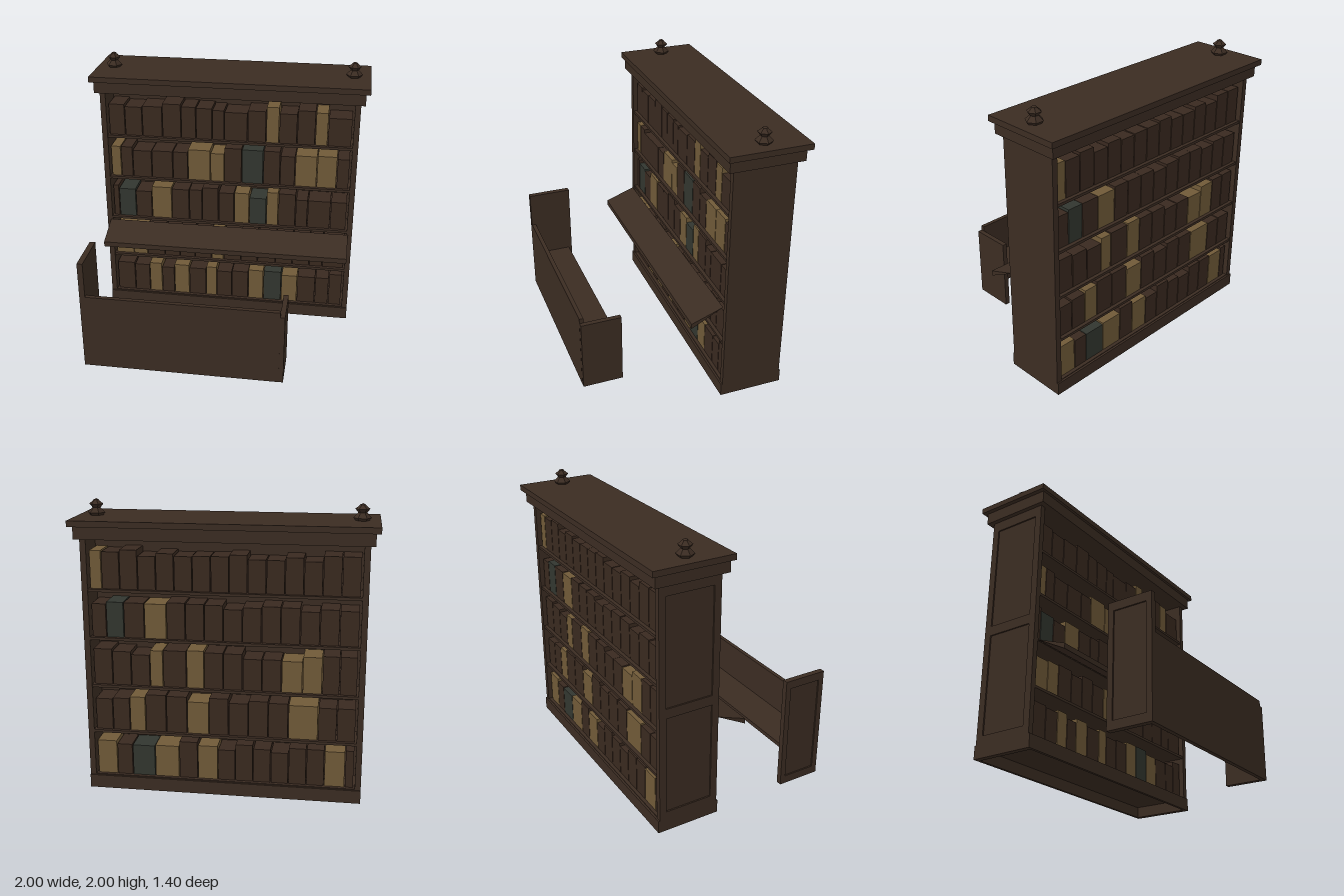
import * as THREE from 'three';

const mat = (name, color) => {
  const m = new THREE.MeshStandardMaterial({ color });
  m.name = name;
  return m;
};

export function createModel() {
  const root = new THREE.Group();
  root.name = 'libraryBookcase';
  const wood = mat('dark wood', 0x3b2c22);
  const books = {
    b: mat('brown leather', 0x39291f),
    t: mat('tan leather', 0x705a38),
    g: mat('dark green cloth', 0x32362f),
  };

  // Box given by its minimum and maximum on each axis
  function box(parent, name, x0, x1, y0, y1, z0, z1, material = wood) {
    const mesh = new THREE.Mesh(new THREE.BoxGeometry(x1 - x0, y1 - y0, z1 - z0), material);
    mesh.position.set((x0 + x1) / 2, (y0 + y1) / 2, (z0 + z1) / 2);
    mesh.name = name;
    parent.add(mesh);
    return mesh;
  }

  // Framed panel facing -x: thin core with raised rails and stiles
  function framedSide(parent, name, x0, x1, y0, y1, z0, z1, rails, w) {
    const g = new THREE.Group();
    g.name = name;
    const mid = x0 + 0.01;
    box(g, 'core', mid, x1, y0, y1, z0, z1);
    box(g, 'backStile', x0, mid, y0, y1, z0, z0 + w);
    box(g, 'frontStile', x0, mid, y0, y1, z1 - w, z1);
    for (const [a, b] of rails) box(g, 'rail', x0, mid, a, b, z0 + w, z1 - w);
    parent.add(g);
  }

  // Bookcase carcass
  const carcass = new THREE.Group();
  carcass.name = 'carcass';
  root.add(carcass);
  box(carcass, 'leftSide', 0.9, 0.94, 0, 1.765, -0.63, -0.19);
  framedSide(carcass, 'rightSide', -0.94, -0.9, 0, 1.765, -0.63, -0.19,
    [[0, 0.15], [0.86, 0.93], [1.69, 1.765]], 0.05);
  box(carcass, 'middlePartition', -0.9, 0.9, 0.09, 1.765, -0.415, -0.405);
  const shelfTops = [1.428, 1.096, 0.76, 0.43, 0.098];
  for (const y of shelfTops) box(carcass, 'shelf', -0.9, 0.9, y - 0.019, y, -0.625, -0.195);

  // Plinth, open underneath
  box(carcass, 'plinthFront', -0.94, 0.94, 0, 0.093, -0.2, -0.18);
  box(carcass, 'plinthBack', -0.94, 0.94, 0, 0.093, -0.64, -0.62);

  // Cornice and top
  box(carcass, 'cornice', -0.97, 0.97, 1.765, 1.85, -0.67, -0.15);
  box(carcass, 'topBoard', -1, 1, 1.85, 1.89, -0.7, -0.13);

  // Six-sided finials
  const profile = [[0.045, 0], [0.06, 0.018], [0.028, 0.05], [0.048, 0.075], [0.022, 0.095], [0.018, 0.102], [0, 0.11]]
    .map(([r, y]) => new THREE.Vector2(r, y));
  const finialGeo = new THREE.LatheGeometry(profile, 6).toNonIndexed();
  finialGeo.computeVertexNormals();
  for (const s of [-1, 1]) {
    const finial = new THREE.Mesh(finialGeo, wood);
    finial.name = 'finial';
    finial.position.set(0.88 * s, 1.89, -0.415);
    finial.rotation.y = Math.PI / 6;
    root.add(finial);
  }

  // Row of books from [kind, end, height] entries running from a start position
  function bookRow(name, start, list, y, toX, z0, z1) {
    const g = new THREE.Group();
    g.name = name;
    let from = start;
    for (const [kind, end, h] of list) {
      const a = toX(from), b = toX(end);
      box(g, 'book', Math.min(a, b) + 0.003, Math.max(a, b) - 0.003, y, y + h, z0, z1, books[kind]);
      from = end;
    }
    root.add(g);
  }

  // Front books: ends in hundredths from the right-hand side (0 to 180)
  const frontRows = [
    [['b', 13, 0.235], ['b', 26, 0.22], ['b', 41, 0.23], ['b', 55, 0.255], ['b', 66, 0.24], ['b', 78, 0.235],
      ['b', 87, 0.225], ['b', 104, 0.215], ['b', 117.5, 0.235], ['t', 127, 0.27], ['b', 140, 0.225],
      ['b', 153, 0.255], ['t', 162, 0.245], ['b', 179, 0.21]],
    [['t', 8.5, 0.235], ['b', 17.5, 0.235], ['b', 32, 0.21], ['b', 48, 0.215], ['b', 59.5, 0.215], ['t', 76.5, 0.24],
      ['t', 87, 0.22], ['b', 100, 0.268], ['g', 116, 0.263], ['b', 128.5, 0.263], ['b', 139.5, 0.23],
      ['t', 155.5, 0.24], ['t', 170, 0.246], ['b', 179, 0.23]],
    [['b', 5.5, 0.25], ['g', 18.5, 0.225], ['b', 31, 0.213], ['t', 46.5, 0.256], ['b', 60, 0.246], ['b', 70, 0.25],
      ['b', 82.5, 0.273], ['b', 94.5, 0.24], ['t', 106, 0.246], ['g', 119, 0.213], ['t', 128, 0.267],
      ['b', 141, 0.262], ['b', 150, 0.22], ['b', 167, 0.22], ['b', 179, 0.22]],
    [['t', 15, 0.22], ['t', 26, 0.23], ['b', 40, 0.24], ['b', 52, 0.22], ['b', 64, 0.25], ['b', 77, 0.23],
      ['t', 86.5, 0.24], ['b', 100, 0.22], ['b', 113, 0.25], ['b', 127, 0.23], ['b', 140, 0.24],
      ['b', 153, 0.23], ['b', 163, 0.25], ['b', 179, 0.22]],
    [['b', 15, 0.24], ['b', 27, 0.23], ['t', 37, 0.25], ['b', 47, 0.22], ['t', 59, 0.25], ['b', 72.5, 0.23],
      ['t', 81, 0.25], ['b', 93, 0.22], ['b', 106, 0.23], ['t', 118, 0.25], ['g', 132, 0.25], ['t', 144.5, 0.225],
      ['b', 158.5, 0.225], ['b', 169, 0.225], ['b', 179, 0.265]],
  ];
  frontRows.forEach((row, i) =>
    bookRow('frontBookRow', 1, row, shelfTops[i], (v) => v / 100 - 0.9, -0.4, -0.22));

  // Back books: coloured spans measured from the left-hand side, brown books between
  const backSpans = [
    [['t', 1, 9]],
    [['g', 11, 23], ['t', 37, 52]],
    [['t', 40, 49], ['t', 65, 77], ['t', 129, 143], ['t', 144, 156]],
    [['t', 25, 36], ['t', 65, 80], ['t', 134, 154]],
    [['t', 1, 15], ['g', 26, 42], ['t', 42, 59], ['t', 72, 86], ['t', 159, 173]],
  ];
  backSpans.forEach((spans, i) => {
    let seed = 7 + i * 13;
    const rnd = () => (seed = (seed * 1103 + 377) % 9973) / 9973;
    const height = () => 0.215 + 0.05 * rnd();
    const list = [];
    let at = 1;
    for (const [kind, a, b] of [...spans, [null, 179, 179]]) {
      const n = Math.round((a - at) / 12.5) || (a - at > 3 ? 1 : 0);
      for (let k = 1; k <= n; k++) list.push(['b', at + ((a - at) * k) / n, height()]);
      if (kind) list.push([kind, b, height()]);
      at = b;
    }
    bookRow('backBookRow', 1, list, shelfTops[i], (v) => 0.9 - v / 100, -0.6, -0.42);
  });

  // Sloping reading ledge, wedge-shaped in section
  const wedge = new THREE.Shape([[0.18, 0.737], [-0.045, 0.655], [-0.045, 0.617]]
    .map(([x, y]) => new THREE.Vector2(x, y)));
  const ledgeGeo = new THREE.ExtrudeGeometry(wedge, { depth: 1.82, bevelEnabled: false });
  ledgeGeo.rotateY(Math.PI / 2);
  ledgeGeo.translate(-0.91, 0, 0);
  const ledge = new THREE.Mesh(ledgeGeo, wood);
  ledge.name = 'readingLedge';
  root.add(ledge);

  // Free-standing counter
  const counter = new THREE.Group();
  counter.name = 'counter';
  root.add(counter);
  framedSide(counter, 'tallEndPanel', -0.91, -0.87, 0, 0.835, 0.38, 0.7,
    [[0, 0.06], [0.775, 0.835]], 0.04);
  box(counter, 'shortEndPanel', 0.487, 0.522, 0, 0.535, 0.405, 0.699);
  box(counter, 'frontPanel', -0.87, 0.49, 0, 0.572, 0.67, 0.7);
  box(counter, 'counterShelf', -0.87, 0.487, 0.27, 0.3, 0.405, 0.67);
  return root;
}
